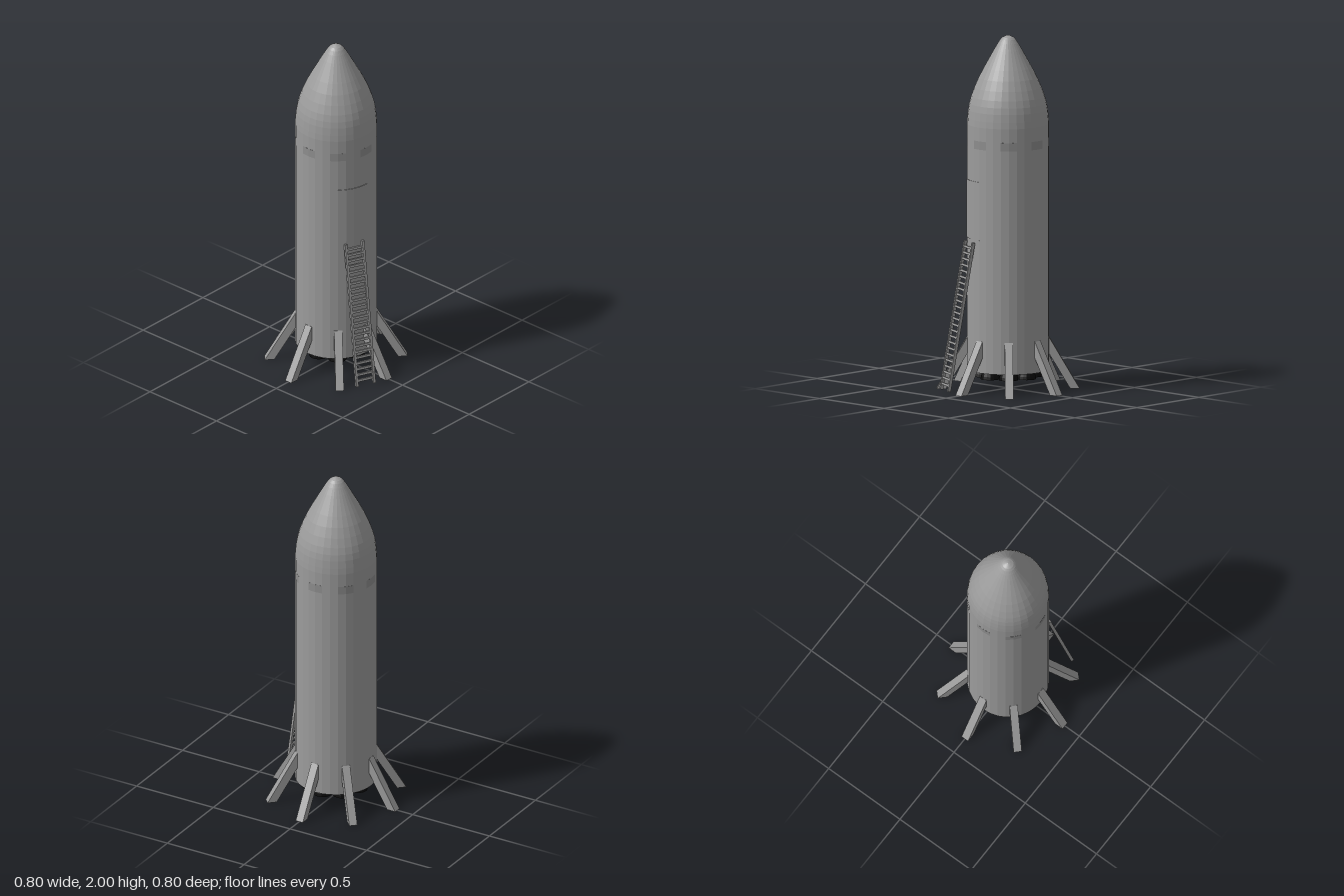
import * as THREE from 'three';

const R = 0.23, SIDES = 32;
const grey = new THREE.MeshStandardMaterial({ color: 0x9c9c9c, flatShading: true, side: THREE.DoubleSide });
const glass = grey.clone();
glass.color.set(0x8e8e8e);
const black = grey.clone();
black.color.set(0x0a0a0a);

function add(parent, name, geometry, material = grey) {
  const mesh = new THREE.Mesh(geometry, material);
  mesh.name = name;
  parent.add(mesh);
  return mesh;
}

const lathe = (pts, sides, start = 0, sweep = Math.PI * 2) =>
  new THREE.LatheGeometry(pts.map(([r, y]) => new THREE.Vector2(r, y)), sides, start, sweep);

// Thin curved plate lying on the hull
function hullPlate(y0, y1, start, sweep, lift) {
  const segments = Math.round(sweep / (Math.PI * 2 / SIDES));
  const inner = R - 0.001, outer = R + lift;
  return lathe([[inner, y0], [outer, y0], [outer, y1], [inner, y1]], segments, start, sweep);
}

export function createModel() {
  const rocket = new THREE.Group();
  rocket.name = 'rocket';

  // Hull, open at the bottom, with a rounded ogive nose
  add(rocket, 'hull', lathe([[R, 0.11], [R, 1.5]], SIDES));
  const nose = new THREE.SplineCurve([
    [R, 1.5], [0.223, 1.58], [0.206, 1.655], [0.164, 1.76], [0.105, 1.87], [0.057, 1.954], [0.031, 1.987], [0, 2],
  ].map(([r, y]) => new THREE.Vector2(r, y)));
  const nosePoints = nose.getPoints(14).map((p) => [Math.max(0, p.x), p.y]);
  add(rocket, 'noseCone', lathe(nosePoints, SIDES));
  const bulkhead = add(rocket, 'engineBulkhead', new THREE.CircleGeometry(R - 0.002, SIDES));
  bulkhead.rotation.x = Math.PI / 2;
  bulkhead.position.y = 0.2;

  // Ring of windows and the hatch above the ladder
  for (let i = 0; i < 8; i++) {
    const start = i * Math.PI / 4 - Math.PI / 16;
    add(rocket, 'window', hullPlate(1.375, 1.422, start, Math.PI / 8, 0.0006), glass);
  }
  add(rocket, 'hatch', hullPlate(0.86, 1.19, -Math.PI / 4, Math.PI / 4, 0.003));

  // Engine cluster: one bell in the middle, eight around it
  const bell = lathe([[0.054, 0.068], [0.051, 0.085], [0.043, 0.11], [0.034, 0.135], [0.025, 0.15], [0.032, 0.165], [0.032, 0.2]], 16);
  for (let i = 0; i < 9; i++) {
    const angle = i * Math.PI / 4;
    const ring = i < 8 ? 0.144 : 0;
    add(rocket, 'engineBell', bell, black).position.set(Math.sin(angle) * ring, 0, Math.cos(angle) * ring);
  }

  // Eight splayed landing legs
  const legShape = new THREE.Shape([
    [0.218, 0.29], [0.222, 0.21], [0.347, 0], [0.4, 0], [0.23, 0.29],
  ].map(([r, y]) => new THREE.Vector2(r, y)));
  const legGeometry = new THREE.ExtrudeGeometry(legShape, { depth: 0.046, bevelEnabled: false });
  legGeometry.translate(0, 0, -0.023);
  for (let i = 0; i < 8; i++) {
    add(rocket, 'landingLeg', legGeometry).rotation.y = i * Math.PI / 4;
  }

  // Ladder leaning on the hull under the hatch
  const ladder = new THREE.Group();
  ladder.name = 'ladder';
  ladder.rotation.y = -Math.PI / 8;
  const top = new THREE.Vector2(0.235, 0.845), foot = new THREE.Vector2(0.384, 0.01);
  const lean = Math.atan2(top.x - foot.x, top.y - foot.y);
  const length = top.distanceTo(foot);
  const middle = top.clone().add(foot).multiplyScalar(0.5);
  for (const side of [-1, 1]) {
    const rail = add(ladder, 'ladderRail', new THREE.BoxGeometry(0.014, length, 0.018));
    rail.position.set(side * 0.053, middle.y, middle.x);
    rail.rotation.x = lean;
  }
  const rungs = 24;
  const rungGeometry = new THREE.BoxGeometry(0.106, 0.013, 0.013);
  for (let i = 1; i <= rungs; i++) {
    const p = foot.clone().lerp(top, i / (rungs + 1));
    const rung = add(ladder, 'ladderRung', rungGeometry);
    rung.position.set(0, p.y, p.x);
    rung.rotation.x = lean;
  }
  rocket.add(ladder);

  return rocket;
}
